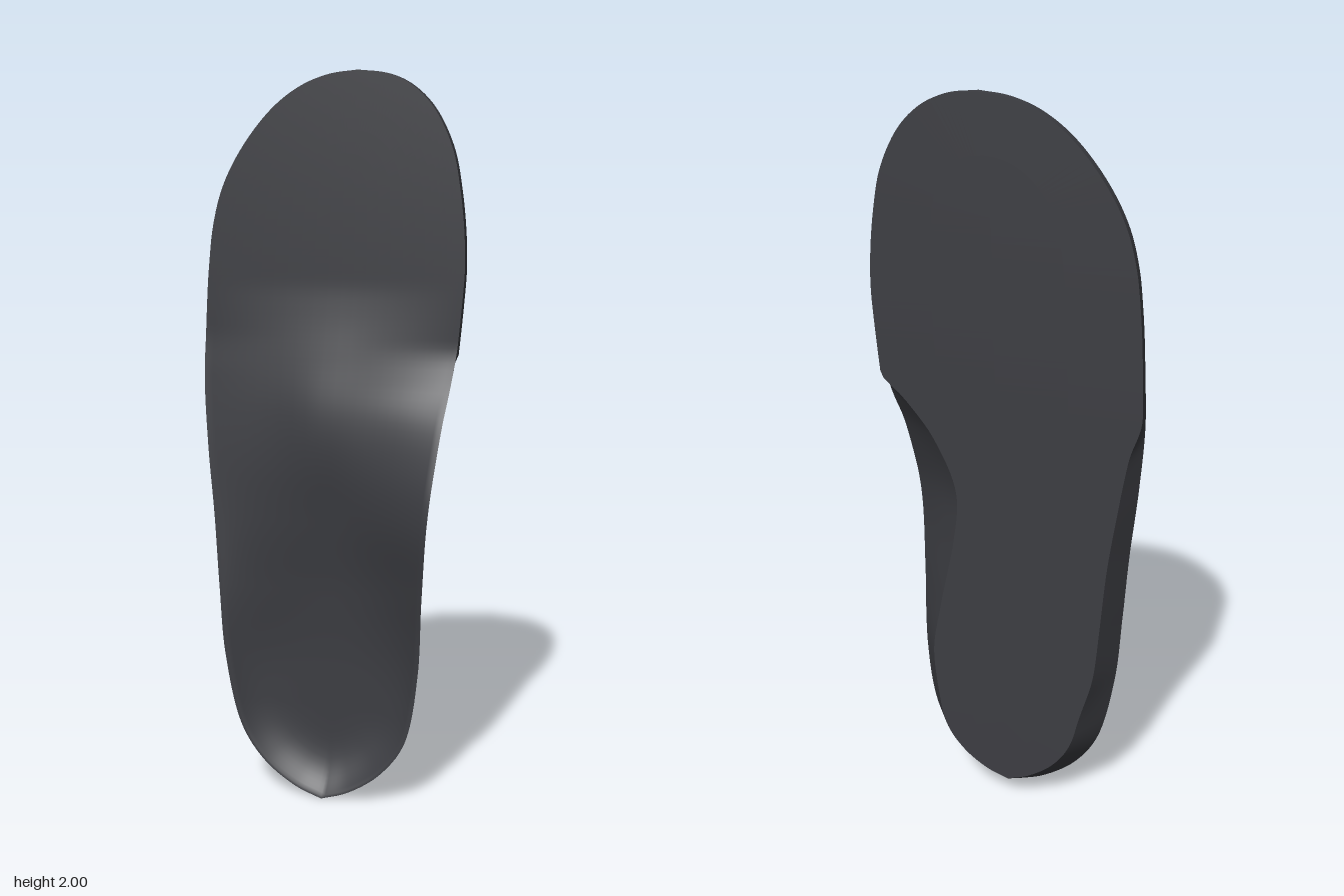
import * as THREE from 'three';
import { mergeVertices } from 'three/addons/utils/BufferGeometryUtils.js';

const BACK = -0.085;

// Smooth lookup in a table of [y, value] pairs
function lookup(table, y) {
  const n = table.length - 1;
  if (y <= table[0][0]) return table[0][1];
  if (y >= table[n][0]) return table[n][1];
  let i = 0;
  while (table[i + 1][0] < y) i++;
  const slope = (k) => (k <= 0 || k >= n ? 0
    : (table[k + 1][1] - table[k - 1][1]) / (table[k + 1][0] - table[k - 1][0]));
  const h = table[i + 1][0] - table[i][0];
  const t = (y - table[i][0]) / h, t2 = t * t, t3 = t2 * t;
  return (2 * t3 - 3 * t2 + 1) * table[i][1] + (t3 - 2 * t2 + t) * h * slope(i)
    + (3 * t2 - 2 * t3) * table[i + 1][1] + (t3 - t2) * h * slope(i + 1);
}

// Outline rows from heel to toe: y, outer edge x, inner edge x
const OUTLINE = [
  [0, -0.01, -0.01], [0.03, -0.09, 0.07], [0.1, -0.185, 0.165], [0.2, -0.25, 0.232],
  [0.4, -0.295, 0.268], [0.6, -0.312, 0.283], [0.8, -0.328, 0.302], [1, -0.35, 0.32],
  [1.2, -0.365, 0.337], [1.4, -0.358, 0.355], [1.5, -0.35, 0.361], [1.6, -0.337, 0.357],
  [1.7, -0.309, 0.345], [1.8, -0.255, 0.324], [1.9, -0.172, 0.275], [1.96, -0.09, 0.215],
  [1.99, -0.01, 0.15], [2, 0.07, 0.07],
];
// Heights of the rims and of the middle of the footbed
const INNER_RIM = [[0.3, 0], [0.5, 0.02], [0.65, 0.05], [0.8, 0.082], [0.9, 0.083],
  [1, 0.06], [1.1, 0.025], [1.2, -0.03], [1.3, -0.06]];
const OUTER_RIM = [[0.4, 0], [0.6, -0.004], [0.8, -0.015], [1, -0.03], [1.2, -0.05], [1.32, -0.06]];
const MIDDLE = [[0.35, -0.06], [0.6, -0.047], [0.8, -0.022], [0.95, -0.008], [1.1, -0.014],
  [1.25, -0.034], [1.38, -0.053], [1.46, -0.06]];
// How far the flat underside reaches towards the outline
const INNER_REACH = [[0.25, 0.77], [0.45, 0.77], [0.6, 0.65], [0.8, 0.46], [0.95, 0.4],
  [1.1, 0.58], [1.2, 0.81], [1.27, 1]];
const OUTER_REACH = [[0.25, 0.77], [0.45, 0.85], [0.8, 0.88], [1.1, 0.93], [1.22, 1]];
// Steepness of the cup, tall walled at the heel and gentle at the arch
const STEEPNESS = [[0.3, 4], [0.6, 2.4], [0.85, 1.5], [1.3, 1.6]];

// Counter-clockwise rim points, each with its point on the spine
function rimPoints() {
  const curve = new THREE.CatmullRomCurve3(OUTLINE.map(([y, l, r]) => new THREE.Vector3(l, y, r)));
  curve.arcLengthDivisions = 600;
  const rows = curve.getSpacedPoints(130);
  const make = (x, y, inner) => {
    const cy = THREE.MathUtils.clamp(y, 0.25, 1.7);
    return {
      x, y, cx: 0.02 * cy, cy,
      rim: lookup(inner ? INNER_RIM : OUTER_RIM, y),
      reach: lookup(inner ? INNER_REACH : OUTER_REACH, y),
    };
  };
  return [
    ...rows.map((p) => make(p.z, p.y, true)),
    ...rows.slice(1, -1).reverse().map((p) => make(p.x, p.y, false)),
  ];
}

// Point part of the way from the spine to the rim
const along = (p, r) => [p.cx + (p.x - p.cx) * r, p.cy + (p.y - p.cy) * r];

function footbedPoint(p, r) {
  const [x, y] = along(p, r);
  const mid = lookup(MIDDLE, y);
  const rise = Math.min(1, r / 0.965) ** lookup(STEEPNESS, y);
  // Soft pad behind the ball of the foot
  const pad = 0.014 * Math.exp(-(((x + 0.02) / 0.11) ** 2) - ((y - 1.08) / 0.17) ** 2);
  return [x, y, mid + (p.rim - mid) * rise + pad * (1 - r * r)];
}

// Closed skin through a list of loops
function skin(loops) {
  const n = loops[0].length, index = [];
  for (let i = 0; i < loops.length - 1; i++) {
    for (let j = 0; j < n; j++) {
      const k = (j + 1) % n;
      const a = i * n + j, b = i * n + k, c = a + n, d = b + n;
      index.push(a, c, d, a, d, b);
    }
  }
  const geometry = new THREE.BufferGeometry();
  geometry.setAttribute('position', new THREE.Float32BufferAttribute(loops.flat(2), 3));
  geometry.setIndex(index);
  const merged = mergeVertices(geometry, 1e-4);
  merged.computeVertexNormals();
  return merged;
}

export function createModel() {
  const group = new THREE.Group();
  group.name = 'insole';
  const material = new THREE.MeshStandardMaterial({ color: 0x3c3d42 });
  const rim = rimPoints();
  const add = (name, loops) => {
    const mesh = new THREE.Mesh(skin(loops), material);
    mesh.name = name;
    group.add(mesh);
  };

  // Contoured upper surface with heel cup, arch and pad
  const steps = [0, 0.1, 0.2, 0.3, 0.4, 0.5, 0.6, 0.68, 0.75, 0.81, 0.86, 0.9, 0.935, 0.965, 1];
  add('footbed', steps.map((r) => rim.map((p) => footbedPoint(p, r))));

  // Edge wall, undercut below the heel and the arch
  add('sidewall', [0, 0.33, 0.67, 1].map((t) => rim.map((p) => [
    ...along(p, 1 + (p.reach - 1) * t), p.rim + (BACK - p.rim) * t,
  ])));

  // Flat underside
  add('sole', [1, 0.5, 0].map((s) => rim.map((p) => [...along(p, p.reach * s), BACK])));

  return group;
}
